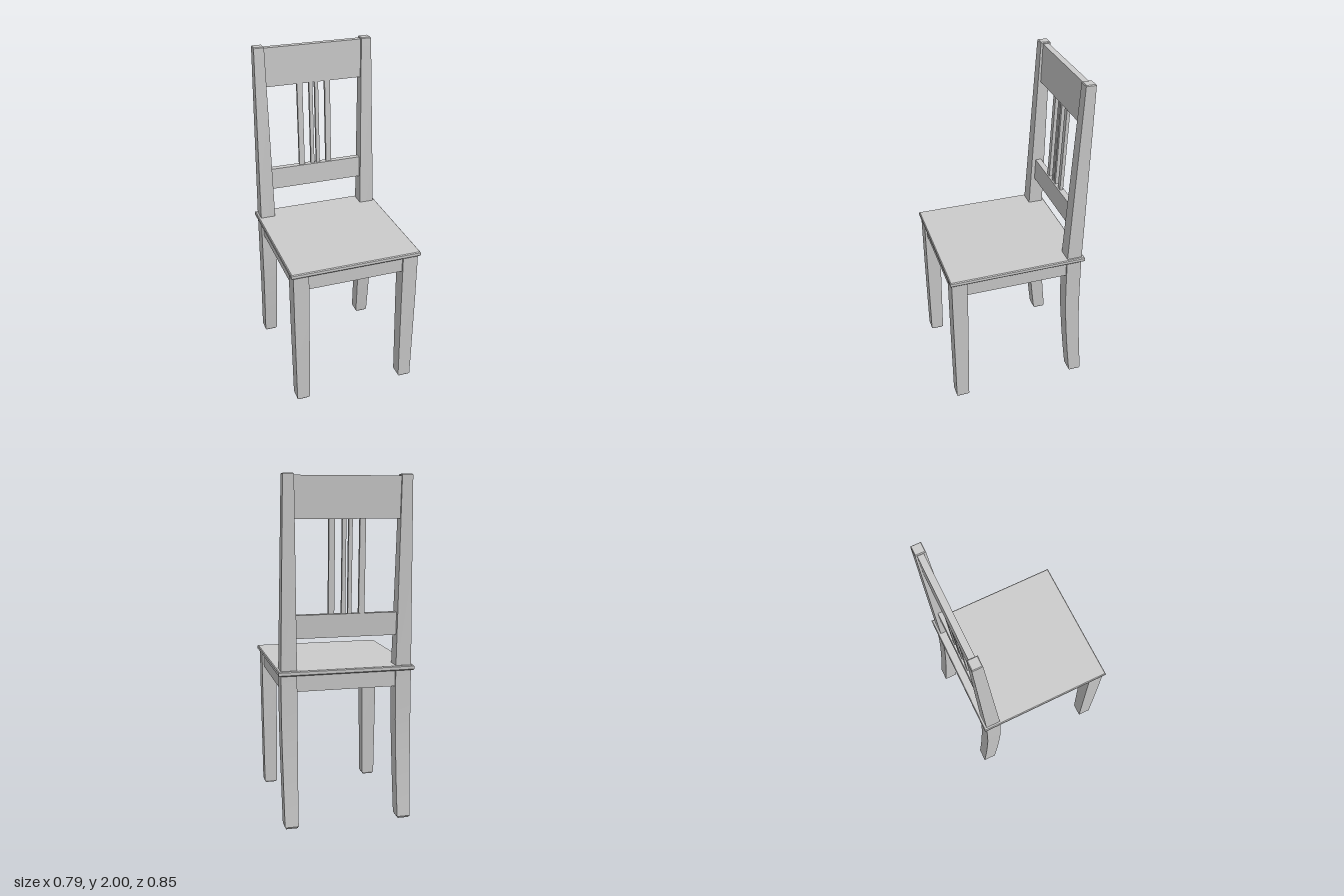
import * as THREE from 'three';
import { toCreasedNormals } from 'three/addons/utils/BufferGeometryUtils.js';

const material = new THREE.MeshStandardMaterial({ color: 0xcccccc });

// Solid through rectangular sections [y, xMin, xMax, zMin, zMax], listed bottom to top
function loft(sections) {
  const pos = [], idx = [];
  for (const [y, x0, x1, z0, z1] of sections) {
    pos.push(x0, y, z1, x1, y, z1, x1, y, z0, x0, y, z0);
  }
  const last = (sections.length - 1) * 4;
  for (let r = 0; r < last; r += 4) {
    for (let i = 0; i < 4; i++) {
      const a = r + i, b = r + (i + 1) % 4;
      idx.push(a, b, b + 4, a, b + 4, a + 4);
    }
  }
  idx.push(0, 2, 1, 0, 3, 2, last, last + 1, last + 2, last, last + 2, last + 3);
  const g = new THREE.BufferGeometry();
  g.setAttribute('position', new THREE.Float32BufferAttribute(pos, 3));
  g.setIndex(idx);
  return toCreasedNormals(g, 0.4);
}

// Mirrors sections across x = 0
const mirrored = (sections) => sections.map(([y, x0, x1, z0, z1]) => [y, -x1, -x0, z0, z1]);

// Section shrunk on all four sides, for chamfers
const inset = ([, x0, x1, z0, z1], y, d) => [y, x0 + d, x1 - d, z0 + d, z1 - d];

export function createModel() {
  const chair = new THREE.Group();
  chair.name = 'chair';
  const add = (name, sections) => {
    const mesh = new THREE.Mesh(loft(sections), material);
    mesh.name = name;
    chair.add(mesh);
  };
  const addPair = (name, sections) => {
    add('left' + name, sections);
    add('right' + name, mirrored(sections));
  };

  // Seat board with small chamfers
  const board = [0, -0.397, 0.397, -0.395, 0.428];
  add('seat', [
    inset(board, 0.892, 0.005), inset(board, 0.898, 0),
    inset(board, 0.915, 0), inset(board, 0.92, 0.005),
  ]);

  // Tapered front legs
  const frontFoot = [0.012, 0.297, 0.376, 0.333, 0.412];
  addPair('FrontLeg', [
    inset(frontFoot, 0, 0.007), frontFoot,
    [0.6, 0.291, 0.382, 0.326, 0.417], [0.895, 0.29, 0.383, 0.325, 0.418],
  ]);

  // Rear legs: swept back below the seat, leaning and tapering above it
  const backEdge = new THREE.SplineCurve([
    [-0.425, 0.012], [-0.407, 0.2], [-0.392, 0.4], [-0.382, 0.6], [-0.378, 0.9],
  ].map((p) => new THREE.Vector2(...p)));
  const rear = backEdge.getPoints(12).map(({ x: z, y }) => {
    const t = Math.min(y / 0.6, 1);
    const depth = 0.079 + 0.011 * t;
    return [y, 0.297 - 0.007 * t, 0.376 + 0.006 * t, z, z + depth];
  });
  const post = [1.995, 0.302, 0.364, -0.403, -0.344];
  addPair('RearLeg', [inset(rear[0], 0, 0.007), ...rear, post, inset(post, 2, 0.004)]);

  // Apron under the seat
  add('frontApron', [0.795, 0.895].map((y) => [y, -0.3, 0.3, 0.355, 0.405]));
  add('rearApron', [0.795, 0.895].map((y) => [y, -0.3, 0.3, -0.365, -0.315]));
  addPair('SideApron', [0.795, 0.895].map((y) => [y, 0.32, 0.37, -0.3, 0.34]));

  // Backrest parts share one leaning centre line
  const leaning = (name, x0, x1, y0, y1, thickness) => {
    add(name, [y0, y1].map((y) => {
      const z = -0.341 - 0.038 * (y - 1.1);
      return [y, x0, x1, z - thickness / 2, z + thickness / 2];
    }));
  };
  leaning('topRail', -0.31, 0.31, 1.757, 1.99, 0.036);
  leaning('lowerRail', -0.305, 0.305, 1.097, 1.23, 0.036);

  // Slats: wide outer pair, narrow inner pair
  for (const [name, a, b] of [['OuterSlat', 0.071, 0.105], ['InnerSlat', 0.007, 0.029]]) {
    leaning('left' + name, a, b, 1.22, 1.77, 0.02);
    leaning('right' + name, -b, -a, 1.22, 1.77, 0.02);
  }
  return chair;
}
